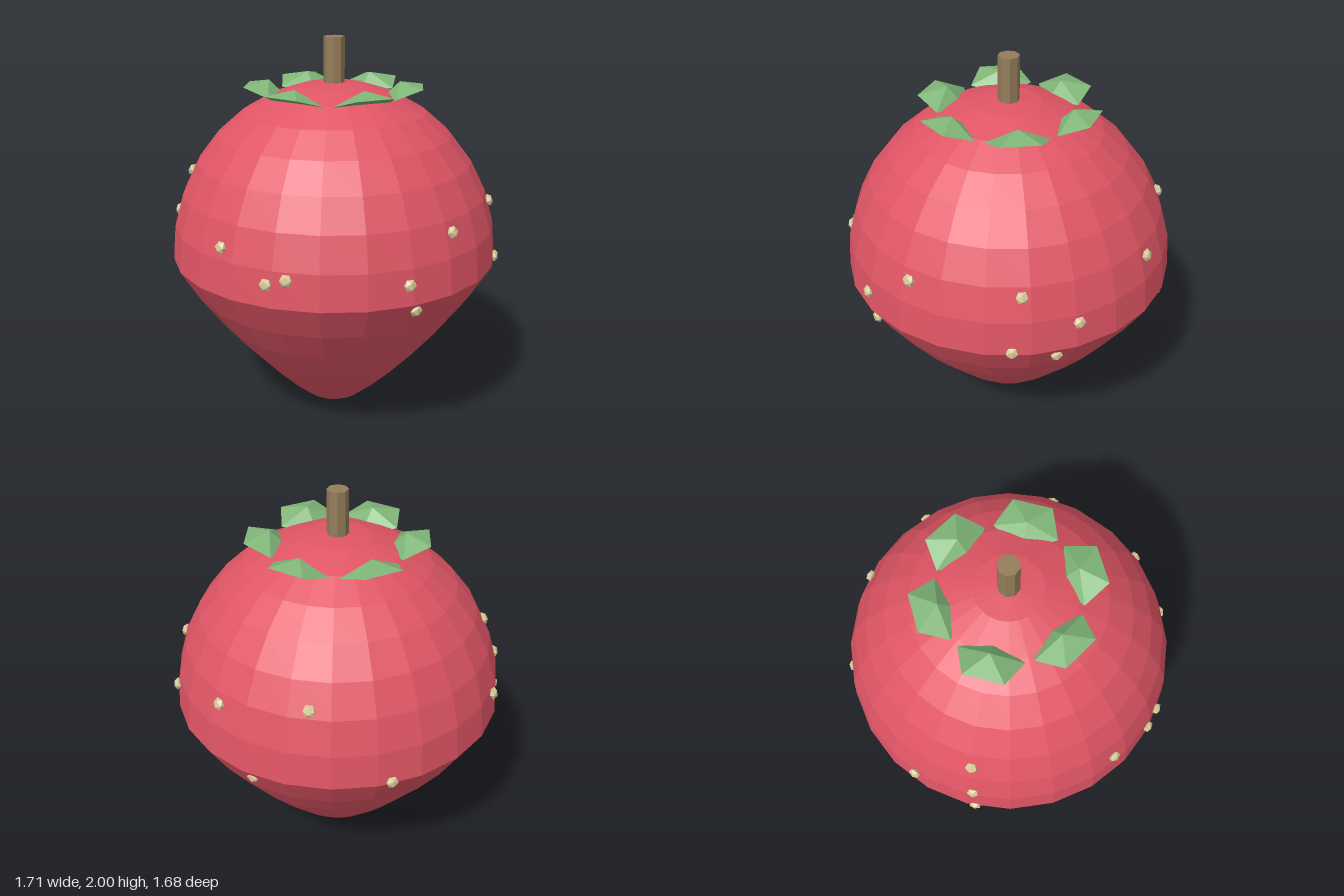
import * as THREE from 'three';

const mat = (name, color) => {
  const m = new THREE.MeshStandardMaterial({ color, flatShading: true });
  m.name = name;
  return m;
};

export function createModel() {
  const model = new THREE.Group();
  model.name = 'strawberry';
  const red = mat('berryRed', 0xe05565);
  const green = mat('leafGreen', 0x7fb577);
  const brown = mat('stemBrown', 0x947d5a);
  const cream = mat('seedCream', 0xd6c896);

  const add = (parent, name, geometry, material) => {
    const mesh = new THREE.Mesh(geometry, material);
    mesh.name = name;
    parent.add(mesh);
    return mesh;
  };

  // Berry: a faceted sphere whose lower half tapers to a blunt point
  const R = 0.84, H = 0.89;
  const berry = new THREE.SphereGeometry(1, 24, 16);
  const p = berry.attributes.position;
  for (let i = 0; i < p.count; i++) {
    const y = p.getY(i);
    const taper = y < 0 ? 1 + 0.55 * y : 1;
    p.setXYZ(i, p.getX(i) * R * taper, H + y * H, p.getZ(i) * R * taper);
  }
  berry.computeVertexNormals();
  add(model, 'berry', berry, red);

  // Stem
  const stem = add(model, 'stem', new THREE.CylinderGeometry(0.053, 0.053, 0.3, 8), brown);
  stem.position.y = 1.85;

  // Leaves: flattened five-sided cones, corner pointing inward, tips tilted up
  const leafGeometry = new THREE.ConeGeometry(1, 0.06, 5);
  leafGeometry.rotateY(-Math.PI / 2);
  leafGeometry.scale(0.125, 1, 0.163);
  leafGeometry.translate(0, 0.03, 0);
  leafGeometry.rotateZ(0.31);
  leafGeometry.translate(0.347, 1.725, 0);
  const leaves = new THREE.Group();
  leaves.name = 'leaves';
  model.add(leaves);
  for (let i = 0; i < 6; i++) {
    add(leaves, 'leaf', leafGeometry, green).rotation.y = i * Math.PI / 3;
  }

  // Seeds: slightly flattened pips facing outward from the skin
  const seedGeometry = new THREE.IcosahedronGeometry(0.032, 0);
  const seeds = new THREE.Group();
  seeds.name = 'seeds';
  model.add(seeds);
  [
    [-0.47, 1.12, 0.66], [-0.245, 1.0, 0.8], [-0.15, 1.03, 0.82], [0.59, 1.18, 0.535],
    [0.4, 0.99, 0.735], [0.43, 0.855, 0.7], [-0.74, 1.31, 0.01], [-0.815, 1.1, 0.03],
    [-0.835, 0.89, 0.04], [0.795, 1.19, 0.04], [0.835, 0.905, 0.09], [0.805, 1.03, -0.225],
    [0.53, 1.18, -0.595], [0.1, 1.27, -0.755], [0.8, 0.84, -0.125], [0.375, 0.845, -0.715],
    [-0.28, 0.9, -0.79], [-0.785, 1.05, -0.28],
  ].forEach(([x, y, z]) => {
    const seed = add(seeds, 'seed', seedGeometry, cream);
    seed.position.set(x, y, z);
    seed.lookAt(x * 2, y * 2 - H, z * 2);
    seed.scale.z = 0.65;
  });

  return model;
}
